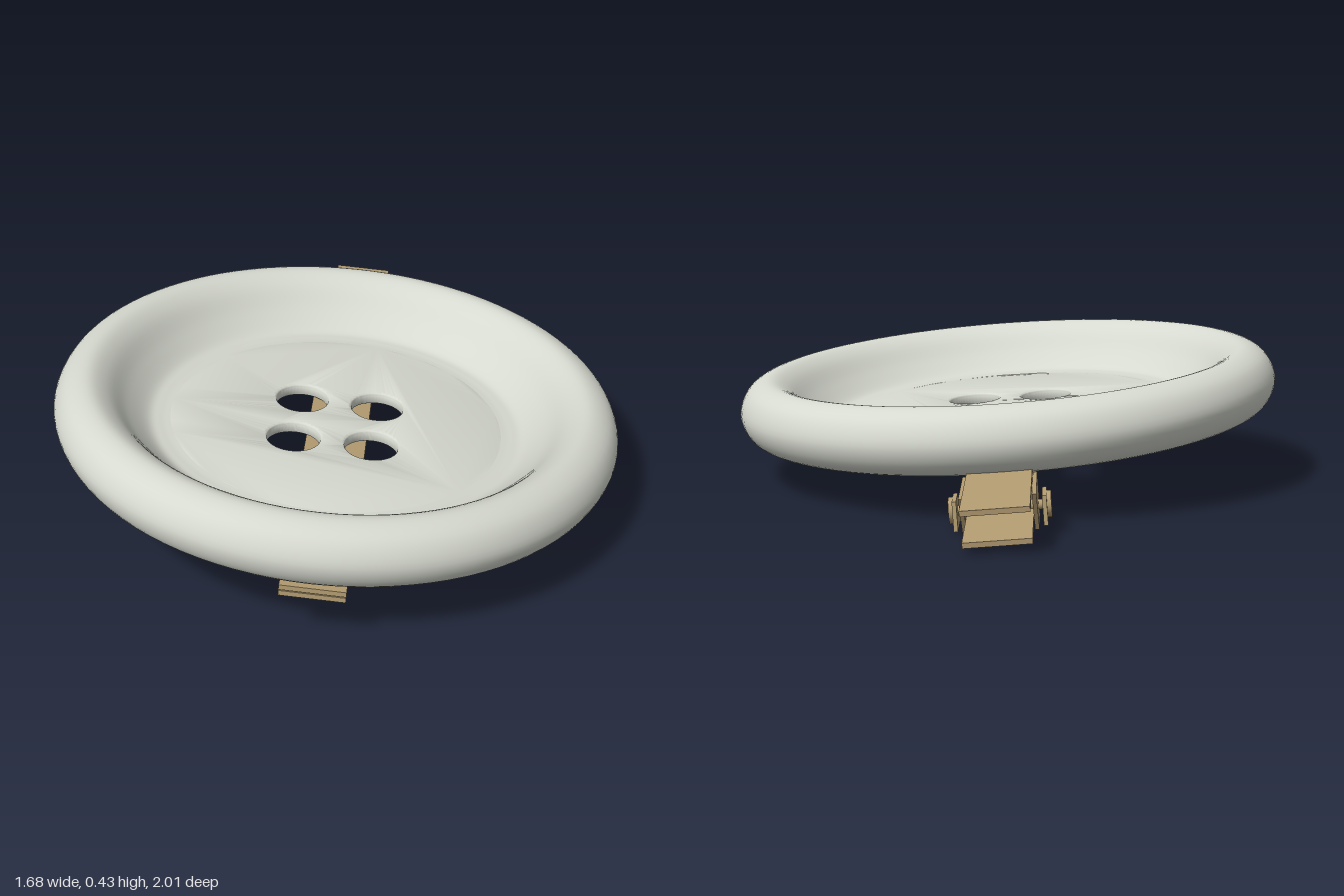
import * as THREE from 'three';
import { toCreasedNormals } from 'three/addons/utils/BufferGeometryUtils.js';

const buttonMat = new THREE.MeshStandardMaterial({ color: 0xd6d9cf });
buttonMat.name = 'pale grey';
const clipMat = new THREE.MeshStandardMaterial({ color: 0xb39c72 });
clipMat.name = 'antique brass';

function add(parent, name, geometry, material) {
  const mesh = new THREE.Mesh(geometry, material);
  mesh.name = name;
  parent.add(mesh);
  return mesh;
}

// Extrudes a (z, y) side outline across x, centred on the given x
function sideExtrude(points, width, x = 0) {
  const shape = new THREE.Shape(points.map(([z, y]) => new THREE.Vector2(z, y)));
  const g = new THREE.ExtrudeGeometry(shape, { depth: width, bevelEnabled: false });
  return g.rotateY(-Math.PI / 2).translate(x + width / 2, 0, 0);
}

function makeButton() {
  const button = new THREE.Group();
  button.name = 'button';
  const inner = 0.5, top = -0.045, bottom = -0.085, segments = 96;

  // Rounded rim with a dished inside
  const profile = new THREE.SplineCurve([
    [inner, bottom], [0.53, bottom], [0.57, -0.086], [0.66, -0.096], [0.74, -0.1],
    [0.815, -0.07], [0.845, 0], [0.815, 0.07], [0.75, 0.1], [0.69, 0.075],
    [0.63, 0.012], [0.57, -0.037], [0.53, top], [inner, top],
  ].map(([r, y]) => new THREE.Vector2(r, y)));
  add(button, 'rim', new THREE.LatheGeometry(profile.getPoints(64), segments), buttonMat);

  // Flat floor with four softened holes
  const disc = new THREE.Shape();
  disc.absarc(0, 0, inner, 0, Math.PI * 2, false);
  for (let i = 0; i < 4; i++) {
    const a = 0.567 + i * Math.PI / 2;
    const hole = new THREE.Path();
    hole.absarc(0.164 * Math.cos(a), 0.164 * Math.sin(a), 0.09, 0, Math.PI * 2, true);
    disc.holes.push(hole);
  }
  const bevel = 0.011;
  const floor = new THREE.ExtrudeGeometry(disc, {
    depth: top - bottom - 2 * bevel, curveSegments: segments / 2,
    bevelThickness: bevel, bevelSize: bevel, bevelSegments: 4,
  });
  floor.rotateX(-Math.PI / 2).translate(0, bottom + bevel, 0);
  add(button, 'floor', toCreasedNormals(floor, 0.6), buttonMat);

  button.position.set(0, 0.27, 0.155);
  button.rotation.set(-0.034, 0, -0.08);
  return button;
}

function makeClip() {
  const clip = new THREE.Group();
  clip.name = 'clip';
  const width = 0.183, back = -0.98, front = 0.97, thick = 0.015;
  const bend = -0.56, pivotZ = -0.69, pivotY = 0.022;

  // Long lower arm, and an upper arm that bends down to meet it at the tip
  add(clip, 'lowerArm', sideExtrude([
    [back, 0], [front, 0], [front, thick], [back, thick],
  ], width), clipMat);
  add(clip, 'upperArm', sideExtrude([
    [back, 0.085], [bend, 0.083], [front, 0.018], [front, 0.033], [bend, 0.098], [back, 0.1],
  ], width), clipMat);

  // Serrated lips along both edges of each arm
  const teeth = 36, z0 = -0.52, z1 = 0.9;
  const upperY = z => 0.083 + (z - bend) / (front - bend) * (0.018 - 0.083);
  const lower = [[z1, 0.005], [z0, 0.005]].reverse();
  const upper = [[z0, upperY(z0) + 0.008], [z1, upperY(z1) + 0.008]];
  for (let i = teeth * 2; i >= 0; i--) {
    const z = z0 + (z1 - z0) * i / (teeth * 2);
    lower.push([z, i % 2 ? 0.028 : 0.016]);
    upper.push([z, upperY(z) - (i % 2 ? 0.012 : 0)]);
  }
  for (const s of [-1, 1]) {
    add(clip, 'lowerTeeth', sideExtrude(lower, 0.01, s * 0.0862), clipMat);
    add(clip, 'upperTeeth', sideExtrude(upper, 0.01, s * 0.0862), clipMat);

    // Hinge ears from each arm, with a round pin head outside
    add(clip, 'upperEar', sideExtrude([
      [-0.76, -0.028], [-0.61, -0.028], [-0.58, 0.085], [-0.81, 0.085],
    ], 0.012, s * 0.098), clipMat);
    add(clip, 'lowerEar', sideExtrude([
      [-0.75, -0.022], [-0.63, -0.022], [-0.645, 0.058], [-0.735, 0.058],
    ], 0.012, s * 0.122), clipMat);
    const head = new THREE.CylinderGeometry(0.037, 0.037, 0.012, 32).rotateZ(Math.PI / 2);
    add(clip, 'pinHead', head, clipMat).position.set(s * 0.134, pivotY, pivotZ);
  }

  // Hinge pin and coil spring
  const pin = new THREE.CylinderGeometry(0.014, 0.014, 0.26, 20).rotateZ(Math.PI / 2);
  add(clip, 'hingePin', pin, clipMat).position.set(0, pivotY, pivotZ);
  const turns = 5, coil = [];
  for (let i = 0; i <= turns * 16; i++) {
    const a = i / 16 * Math.PI * 2;
    coil.push(new THREE.Vector3(-0.075 + 0.15 * i / (turns * 16),
      pivotY + 0.037 * Math.cos(a), pivotZ + 0.037 * Math.sin(a)));
  }
  add(clip, 'spring', new THREE.TubeGeometry(new THREE.CatmullRomCurve3(coil), 200, 0.007, 8), clipMat);

  clip.position.set(0.03, 0.095, -0.025);
  clip.rotation.set(-0.071, -0.2, -0.08, 'YXZ');
  return clip;
}

export function createModel() {
  const model = new THREE.Group();
  model.name = 'buttonHairClip';
  model.add(makeButton(), makeClip());
  return model;
}
